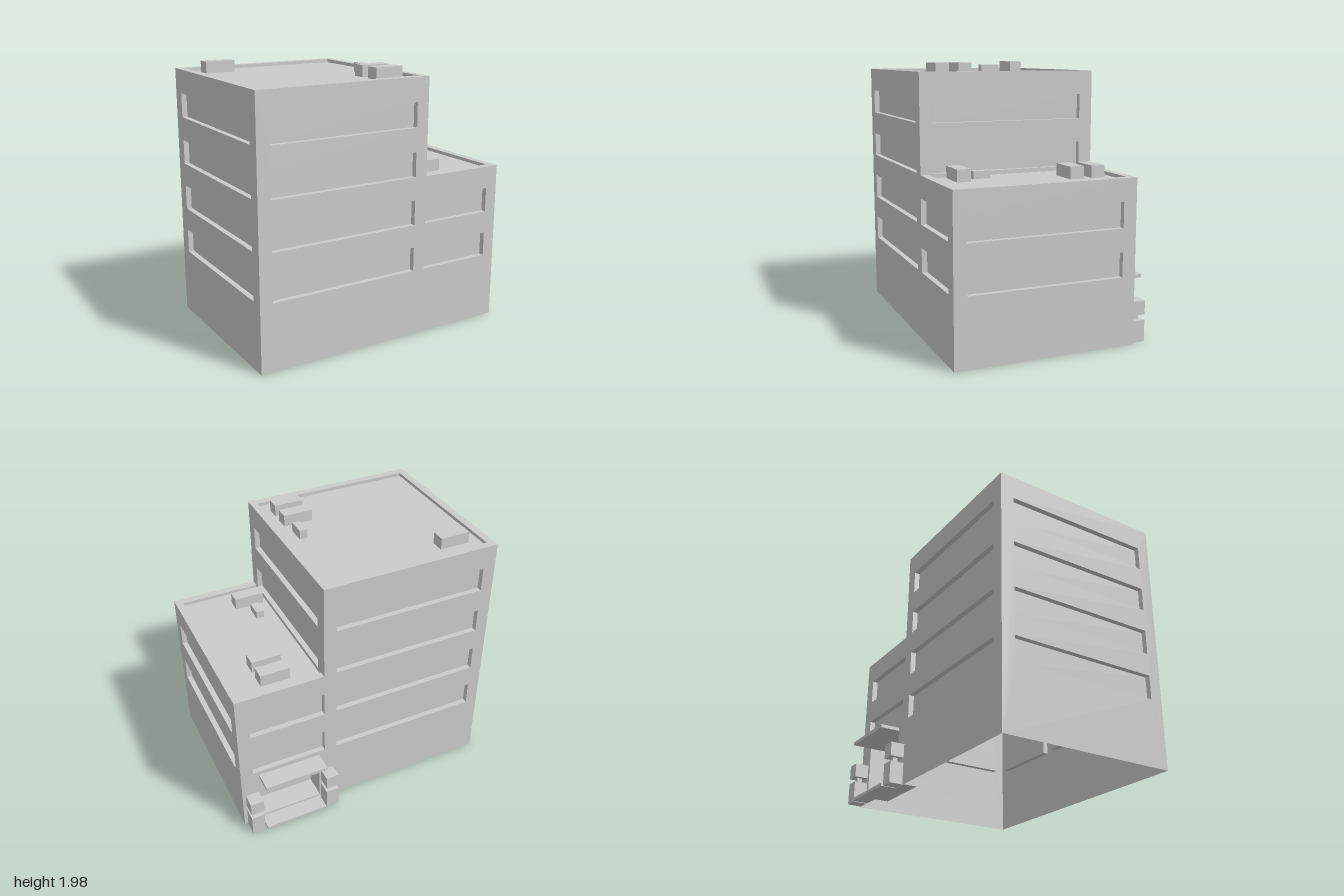
import * as THREE from 'three';

const material = new THREE.MeshStandardMaterial({ color: 0xcccccc, flatShading: true, side: THREE.DoubleSide });

// Overall layout
const LEFT = -1, RIGHT = 1, STEP = 0.335, FRONT = 0.745, BACK = -0.6;
const TOWER_TOP = 1.915, WING_TOP = 1.2;
const ROOF_DROP = 0.025, RECESS = 0.04;
const ROWS = [[0.5, 0.68], [0.85, 1.035], [1.205, 1.385], [1.56, 1.74]];

const corners = ([x0, x1, y0, y1]) => [[x0, y0], [x1, y0], [x1, y1], [x0, y1]];
const toPoints = (list) => list.map(([x, y]) => new THREE.Vector2(x, y));

function addMesh(parent, name, geometry) {
  const mesh = new THREE.Mesh(geometry, material);
  mesh.name = name;
  parent.add(mesh);
  return mesh;
}

// Four inward-facing sides of a rectangular recess
function recessSides(rect, depth) {
  const pos = [];
  const c = corners(rect);
  c.forEach(([ax, ay], i) => {
    const [bx, by] = c[(i + 1) % 4];
    pos.push(ax, ay, 0, bx, by, -depth, ax, ay, -depth);
    pos.push(ax, ay, 0, bx, by, 0, bx, by, -depth);
  });
  // Reverse the winding so that the normals point into the opening
  for (let i = 0; i < pos.length; i += 9) {
    const flip = i % 18 === 0;
    if (!flip) continue;
    for (let k = 0; k < 3; k++) {
      [pos[i + 3 + k], pos[i + 6 + k]] = [pos[i + 6 + k], pos[i + 3 + k]];
    }
  }
  for (let i = 0; i < pos.length; i += 9) {
    for (let k = 0; k < 3; k++) {
      [pos[i + 3 + k], pos[i + 6 + k]] = [pos[i + 6 + k], pos[i + 3 + k]];
    }
  }
  const g = new THREE.BufferGeometry();
  g.setAttribute('position', new THREE.Float32BufferAttribute(pos, 3));
  g.computeVertexNormals();
  return g;
}

// Flat panel facing local +z, with rectangular recesses { name, rect, depth }
function panel(name, outline, recesses) {
  const group = new THREE.Group();
  group.name = name;
  const shape = new THREE.Shape(toPoints(outline));
  for (const { name: part, rect, depth } of recesses) {
    shape.holes.push(new THREE.Path(toPoints(corners(rect).reverse())));
    addMesh(group, part + 'Reveal', recessSides(rect, depth));
    const floor = new THREE.ShapeGeometry(new THREE.Shape(toPoints(corners(rect))));
    addMesh(group, part, floor.translate(0, 0, -depth));
  }
  addMesh(group, name + 'Surface', new THREE.ShapeGeometry(shape));
  return group;
}

const windows = (x0, x1, rows) =>
  rows.map(([y0, y1]) => ({ name: 'windowBand', rect: [x0, x1, y0, y1], depth: RECESS }));

function box(parent, name, x0, x1, y0, y1, z0, z1) {
  const g = new THREE.BoxGeometry(x1 - x0, y1 - y0, z1 - z0);
  addMesh(parent, name, g).position.set((x0 + x1) / 2, (y0 + y1) / 2, (z0 + z1) / 2);
}

export function createModel() {
  const model = new THREE.Group();
  model.name = 'officeBuilding';

  // Front and back walls share a stepped outline
  const stepped = [[LEFT, 0], [RIGHT, 0], [RIGHT, WING_TOP], [STEP, WING_TOP], [STEP, TOWER_TOP], [LEFT, TOWER_TOP]];
  const front = panel('frontWall', stepped,
    [...windows(-0.905, 0.24, ROWS), ...windows(STEP, 0.905, ROWS.slice(0, 2))]);
  front.position.z = FRONT;

  const back = panel('backWall', stepped.map(([x, y]) => [-x, y]).reverse(), [
    ...windows(-0.24, 0.905, ROWS), ...windows(-0.905, -STEP, ROWS.slice(0, 2)),
    { name: 'entrance', rect: [-0.86, -0.38, 0.04, 0.44], depth: 0.17 },
  ]);
  back.position.z = BACK;
  back.rotation.y = Math.PI;

  // Side walls
  const wing = panel('wingSideWall', corners([-FRONT, -BACK, 0, WING_TOP]), windows(-0.65, 0.5, ROWS.slice(0, 2)));
  wing.position.x = RIGHT;
  wing.rotation.y = Math.PI / 2;

  const upper = panel('towerUpperWall', corners([-FRONT, -BACK, WING_TOP, TOWER_TOP]), windows(-0.65, 0.5, ROWS.slice(2)));
  upper.position.x = STEP;
  upper.rotation.y = Math.PI / 2;

  const side = panel('towerSideWall', corners([BACK, FRONT, 0, TOWER_TOP]), windows(-0.5, 0.65, ROWS));
  side.position.x = LEFT;
  side.rotation.y = -Math.PI / 2;

  // Sunken roofs with a parapet rim
  const towerRoof = panel('towerParapet', corners([LEFT, STEP, -FRONT, -BACK]),
    [{ name: 'towerRoof', rect: [-0.945, 0.285, -0.685, 0.545], depth: ROOF_DROP }]);
  towerRoof.position.y = TOWER_TOP;
  towerRoof.rotation.x = -Math.PI / 2;

  const wingRoof = panel('wingParapet', corners([STEP - 0.005, RIGHT, -FRONT, -BACK]),
    [{ name: 'wingRoof', rect: [STEP, 0.945, -0.685, 0.545], depth: ROOF_DROP }]);
  wingRoof.position.y = WING_TOP;
  wingRoof.rotation.x = -Math.PI / 2;

  model.add(front, back, wing, upper, side, towerRoof, wingRoof);

  // Rooftop units: x0, x1, z0, z1, roof level, height above parapet
  const units = [
    [-0.855, -0.63, -0.455, -0.355, TOWER_TOP, 0.06],
    [0, 0.22, 0.315, 0.415, TOWER_TOP, 0.06],
    [0, 0.22, 0.485, 0.585, TOWER_TOP, 0.06],
    [0.135, 0.195, 0.095, 0.23, TOWER_TOP, 0.043],
    [0.54, 0.76, -0.48, -0.375, WING_TOP, 0.063],
    [0.54, 0.76, -0.315, -0.21, WING_TOP, 0.063],
    [0.365, 0.59, 0.465, 0.565, WING_TOP, 0.063],
    [0.43, 0.49, 0.28, 0.41, WING_TOP, 0.03],
  ];
  for (const [x0, x1, z0, z1, roof, h] of units) {
    box(model, 'roofUnit', x0, x1, roof - ROOF_DROP, roof + h, z0, z1);
  }

  // Entrance canopy and step
  box(model, 'canopy', 0.38, 0.86, 0.44, 0.465, -0.745, BACK);
  box(model, 'entranceStep', 0.38, 0.86, 0, 0.022, -0.72, BACK);

  // Pillars beside the entrance: base, neck and cap block
  for (const x of [0.32, 0.925]) {
    const pillar = new THREE.Group();
    pillar.name = 'entrancePillar';
    box(pillar, 'pillarBase', x - 0.05, x + 0.05, 0, 0.16, -0.708, -0.605);
    box(pillar, 'pillarNeck', x - 0.018, x + 0.018, 0.16, 0.2, -0.675, -0.638);
    box(pillar, 'pillarCap', x - 0.05, x + 0.05, 0.2, 0.303, -0.708, -0.605);
    model.add(pillar);
  }
  return model;
}
